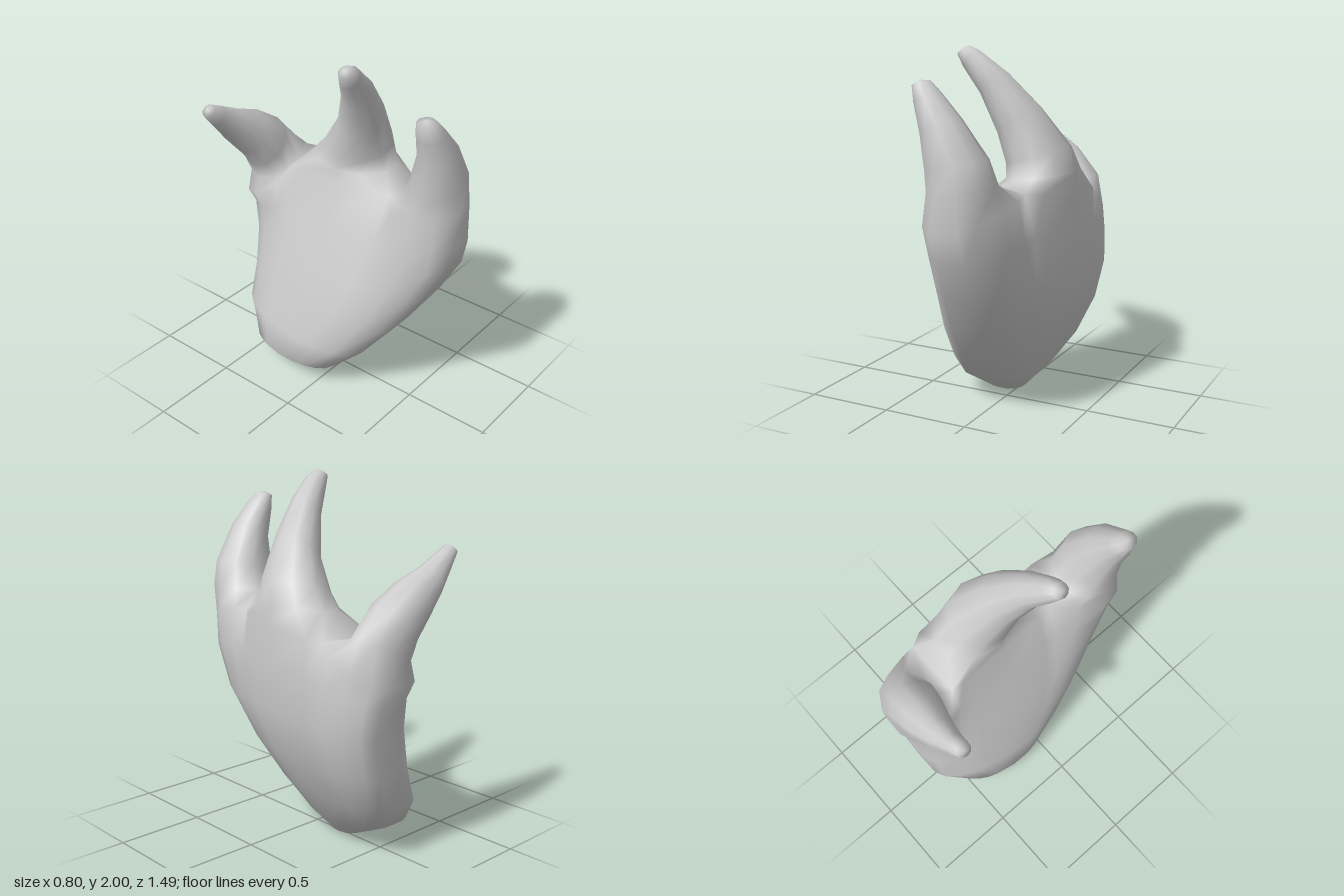
import * as THREE from 'three';

const COLS = 13; // columns across the hand, four spans per finger

// Palm rows: y, z at the two edges, x of the back and of the palm side
const PALM = [
  [0.0, -0.09, -0.29, 0.02, -0.18],
  [0.12, 0.09, -0.53, 0.13, -0.31],
  [0.28, 0.26, -0.66, 0.23, -0.28],
  [0.50, 0.43, -0.675, 0.33, -0.245],
  [0.75, 0.59, -0.69, 0.395, -0.20],
  [1.0, 0.71, -0.715, 0.395, -0.15],
];
const SKEW = [0, 0.02, 0.05, 0.07, 0.07, 0.07]; // turns the thumb edge back, the other forward
const BLEND = [0, 0, 0, 0.05, 0.15, 0.5]; // how far each row takes on the knuckle shape
const KNUCKLE_Y = 1.2; // mean knuckle height

// Knuckle row, one value per column from +z to -z
const KNUCKLE = {
  z: [0.745, 0.68, 0.55, 0.40, 0.30, 0.21, -0.04, -0.32, -0.40, -0.46, -0.58, -0.685, -0.735],
  backX: [0.11, 0.18, 0.26, 0.27, 0.26, 0.32, 0.39, 0.38, 0.34, 0.36, 0.34, 0.27, 0.19],
  backY: [1.10, 1.15, 1.20, 1.23, 1.25, 1.24, 1.22, 1.20, 1.19, 1.12, 1.05, 1.01, 0.99],
  palmX: [-0.05, -0.13, -0.16, -0.09, 0.02, 0.01, 0.0, 0.01, 0.01, -0.04, -0.09, -0.04, 0.07],
  palmY: [1.10, 1.12, 1.16, 1.22, 1.25, 1.24, 1.22, 1.20, 1.19, 1.09, 1.0, 0.97, 0.97],
};

// Finger sections: centre x, y, z, half width, half depth, tilt of the section
const FINGERS = [
  [ // front finger
    [0.045, 1.31, 0.575, 0.178, 0.185, 0.1],
    [0.03, 1.43, 0.60, 0.152, 0.17, 0.2],
    [-0.04, 1.62, 0.63, 0.106, 0.115, 0.4],
    [-0.115, 1.76, 0.63, 0.075, 0.073, 0.4],
    [-0.15, 1.83, 0.63, 0.055, 0.045, 0.3],
  ],
  [ // middle finger
    [0.195, 1.31, -0.06, 0.26, 0.19, 0.1],
    [0.18, 1.41, -0.03, 0.205, 0.18, 0.3],
    [0.10, 1.60, 0.045, 0.135, 0.14, 0.6],
    [-0.02, 1.80, 0.11, 0.09, 0.095, 0.75],
    [-0.13, 1.925, 0.15, 0.06, 0.065, 0.8],
    [-0.175, 1.97, 0.16, 0.043, 0.04, 0.7],
  ],
  [ // thumb
    [0.13, 1.15, -0.605, 0.145, 0.18, 0.45],
    [0.04, 1.28, -0.61, 0.14, 0.155, 0.8],
    [-0.07, 1.38, -0.625, 0.12, 0.13, 1.0],
    [-0.20, 1.47, -0.63, 0.085, 0.09, 1.0],
    [-0.31, 1.56, -0.625, 0.055, 0.058, 0.95],
    [-0.37, 1.61, -0.62, 0.042, 0.04, 0.8],
  ],
];

function buildHand() {
  const positions = [];
  const indices = [];
  const add = (x, y, z) => positions.push(x, y, z) / 3 - 1;

  // Skin between two closed rings
  const bridge = (low, high) => {
    const n = low.length;
    for (let j = 0; j < n; j++) {
      const k = (j + 1) % n;
      indices.push(low[j], low[k], high[k], low[j], high[k], high[j]);
    }
  };
  // Fan that closes a ring at a point
  const cap = (ring, centre, up) => {
    for (let j = 0; j < ring.length; j++) {
      const a = ring[j];
      const b = ring[(j + 1) % ring.length];
      if (up) indices.push(a, b, centre);
      else indices.push(b, a, centre);
    }
  };

  // Ring round the palm: across the back, then home along the palm side
  const palmRing = (row) => {
    const ring = [];
    for (const side of ['back', 'palm']) {
      for (let i = 0; i < COLS; i++) {
        const c = side === 'back' ? i : COLS - 1 - i;
        let x = KNUCKLE[side + 'X'][c];
        let y = KNUCKLE[side + 'Y'][c];
        let z = KNUCKLE.z[c];
        if (row < PALM.length) {
          const [rowY, zA, zB, back, palm] = PALM[row];
          const f = (KNUCKLE.z[0] - z) / (KNUCKLE.z[0] - KNUCKLE.z[COLS - 1]);
          const s = 2 * f - 1;
          const bulge = 0.3 + 0.7 * Math.sqrt(1 - s * s);
          const mid = (back + palm) / 2 + SKEW[row] * s;
          const half = (back - palm) / 2;
          const oval = mid + (side === 'back' ? half : -half) * bulge;
          x = THREE.MathUtils.lerp(oval, x, BLEND[row]);
          y = rowY + BLEND[row] * (y - KNUCKLE_Y);
          z = THREE.MathUtils.lerp(zA, zB, f);
        }
        ring.push(add(x, y, z));
      }
    }
    return ring;
  };

  // Palm
  const rows = [];
  for (let r = 0; r <= PALM.length; r++) rows.push(palmRing(r));
  for (let r = 0; r < PALM.length; r++) bridge(rows[r], rows[r + 1]);
  cap(rows[0], add(-0.08, 0, -0.19), false);

  // Fingers grow from their share of the knuckle row; neighbours share the web edge
  const top = rows[PALM.length];
  FINGERS.forEach((sections, f) => {
    let previous = [];
    for (let i = 0; i <= 4; i++) previous.push(top[4 * f + i]);
    for (let i = 4; i >= 0; i--) previous.push(top[2 * COLS - 1 - (4 * f + i)]);
    for (const [cx, cy, cz, w, d, tilt] of sections) {
      const ring = [];
      for (let j = 0; j < 10; j++) {
        const a = ((18 + 36 * j) * Math.PI) / 180;
        const v = d * Math.sin(a);
        ring.push(add(cx + v * Math.cos(tilt), cy + v * Math.sin(tilt), cz + w * Math.cos(a)));
      }
      bridge(previous, ring);
      previous = ring;
    }
    // Blunt tip
    const [x, y, z, , , tilt] = sections[sections.length - 1];
    cap(previous, add(x - 0.015 * Math.sin(tilt), y + 0.015 * Math.cos(tilt), z), true);
  });

  const geometry = new THREE.BufferGeometry();
  geometry.setAttribute('position', new THREE.Float32BufferAttribute(positions, 3));
  geometry.setIndex(indices);
  geometry.computeVertexNormals();
  return geometry;
}

export function createModel() {
  const group = new THREE.Group();
  group.name = 'threeFingeredHand';
  const hand = new THREE.Mesh(buildHand(), new THREE.MeshStandardMaterial({ color: 0xcccccc }));
  hand.name = 'hand';
  group.add(hand);
  return group;
}
